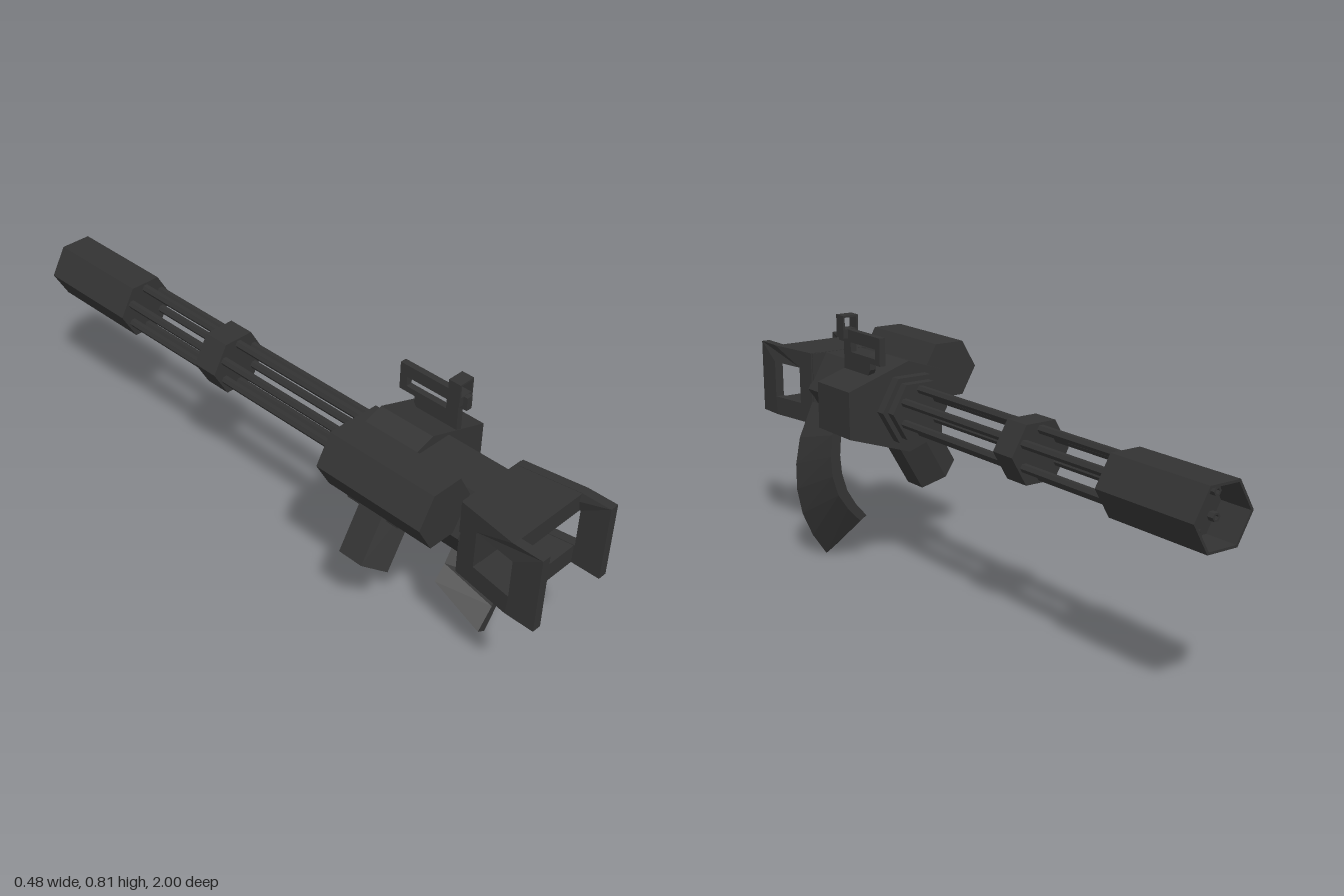
import * as THREE from 'three';

const CX = 0.02, CY = 0.548; // barrel axis

export function createModel() {
  const group = new THREE.Group();
  const mat = new THREE.MeshStandardMaterial({ color: 0x333333, flatShading: true, side: THREE.DoubleSide });

  const add = (name, geo, parent = group) => {
    const mesh = new THREE.Mesh(geo, mat);
    mesh.name = name;
    parent.add(mesh);
    return mesh;
  };
  const toPath = (pts) => pts.map(([x, y]) => new THREE.Vector2(x, y));
  const extrude = (pts, depth, hole) => {
    const shape = new THREE.Shape(toPath(pts));
    if (hole) shape.holes.push(new THREE.Path(toPath(hole)));
    return new THREE.ExtrudeGeometry(shape, { depth, bevelEnabled: false });
  };
  // outline in x/y, running from z0 to z1
  const alongZ = (pts, z0, z1, hole) => extrude(pts, z1 - z0, hole).translate(0, 0, z0);
  // outline in z/y, running from x0 to x1
  const alongX = (pts, x0, x1, hole) => extrude(pts, x1 - x0, hole).rotateY(-Math.PI / 2).translate(x1, 0, 0);
  // outline in x/z, running from y0 to y1
  const alongY = (pts, y0, y1) => extrude(pts, y1 - y0).rotateX(Math.PI / 2).translate(0, y1, 0);
  const hex = (r, x = CX, y = CY, start = 0) => Array.from({ length: 6 }, (_, i) => {
    const a = start + i * Math.PI / 3;
    return [x + r * Math.cos(a), y + r * Math.sin(a)];
  });
  const rect = (u0, v0, u1, v1) => [[u0, v0], [u1, v0], [u1, v1], [u0, v1]];
  const box = (name, x0, x1, y0, y1, z0, z1, parent) => add(name,
    new THREE.BoxGeometry(x1 - x0, y1 - y0, z1 - z0)
      .translate((x0 + x1) / 2, (y0 + y1) / 2, (z0 + z1) / 2), parent);

  // Rotary barrels with their clamps and hollow muzzle shroud
  const barrels = new THREE.Group();
  barrels.name = 'barrelCluster';
  group.add(barrels);
  for (const [x, y] of hex(0.066, CX, CY, Math.PI / 6)) {
    add('barrel', alongZ(hex(0.013, x, y), -0.92, 0.3, hex(0.007, x, y)), barrels);
  }
  add('muzzleShroud', alongZ(hex(0.098), -1, -0.65, hex(0.09)), barrels);
  add('muzzlePlate', alongZ(hex(0.092), -0.9, -0.88), barrels);
  add('shroudBack', alongZ(hex(0.092), -0.66, -0.65), barrels);
  add('barrelClamp', alongZ(hex(0.098), -0.31, -0.225), barrels);
  add('frontCollar', alongZ(hex(0.098), 0.275, 0.305), barrels);
  add('rearCollar', alongZ(hex(0.115), 0.305, 0.34), barrels);

  // Receiver: stretched six-sided housing and a narrower rear part
  add('receiverHousing', alongZ([
    [0.02, 0.69], [-0.1, 0.65], [-0.1, 0.445], [0.02, 0.405], [0.232, 0.475], [0.232, 0.62],
  ], 0.338, 0.522));
  add('receiverRear', alongZ(hex(0.13), 0.52, 0.73));

  // Side drum
  add('drum', alongZ(hex(0.098, -0.142, 0.64), 0.355, 0.71));

  // Tilted six-sided grip, vertices facing front and back
  const grip = add('grip', new THREE.CylinderGeometry(0.0825, 0.0825, 0.26, 6).translate(0, 0.13, 0));
  grip.position.set(-0.122, 0.297, 0.433);
  grip.rotation.z = -Math.PI / 6;

  // Curved magazine: rear and front arcs joined into a swept blade
  const rearIn = [[0.107, 0.02], [0.16, 0.085], [0.19, 0.16], [0.203, 0.245], [0.2, 0.32], [0.183, 0.39], [0.13, 0.5]];
  const rearOut = [[0.137, 0.003], [0.185, 0.075], [0.22, 0.155], [0.237, 0.24], [0.237, 0.325], [0.22, 0.41], [0.17, 0.52]];
  const frontIn = [[0.062, 0.155], [0.1, 0.2], [0.13, 0.25], [0.148, 0.31], [0.153, 0.37], [0.148, 0.43], [0.11, 0.5]];
  const frontOut = [[0.085, 0.14], [0.13, 0.19], [0.163, 0.24], [0.183, 0.305], [0.187, 0.37], [0.18, 0.44], [0.14, 0.52]];
  const pos = [], idx = [], n = rearIn.length;
  for (let i = 0; i < n; i++) {
    for (const [arc, z] of [[rearIn, 0.67], [rearOut, 0.67], [frontOut, 0.535], [frontIn, 0.535]]) pos.push(...arc[i], z);
    for (let k = 0; k < 4 && i < n - 1; k++) {
      const a = i * 4 + k, b = i * 4 + (k + 1) % 4;
      idx.push(a, b, b + 4, a, b + 4, a + 4);
    }
  }
  const e = (n - 1) * 4;
  idx.push(0, 2, 1, 0, 3, 2, e, e + 1, e + 2, e, e + 2, e + 3);
  const blade = new THREE.BufferGeometry();
  blade.setAttribute('position', new THREE.Float32BufferAttribute(pos, 3));
  blade.setIndex(idx);
  const bladeFlat = blade.toNonIndexed();
  bladeFlat.computeVertexNormals();
  add('curvedMagazine', bladeFlat);

  // Flared open stock
  const stock = new THREE.Group();
  stock.name = 'stock';
  group.add(stock);
  const side = [[0.725, 0.43], [0.91, 0.43], [1, 0.43], [1, 0.663], [0.91, 0.663], [0.725, 0.663]];
  for (const s of [-1, 1]) {
    const x = CX + s * 0.106;
    const plate = alongX(side, x - 0.014, x + 0.014, rect(0.785, 0.49, 0.915, 0.607));
    const p = plate.attributes.position;
    for (let i = 0; i < p.count; i++) {
      const t = Math.min(1, (p.getZ(i) - 0.725) / 0.185);
      p.setX(i, p.getX(i) + s * 0.029 * t);
    }
    plate.computeVertexNormals();
    add('stockSide', plate, stock);
  }
  const flare = [[-0.1, 0.725], [0.14, 0.725], [0.16, 0.912], [-0.12, 0.912]];
  add('stockTop', alongY(flare, 0.607, 0.662), stock);
  add('stockBottom', alongY(flare, 0.431, 0.488), stock);
  box('stockBase', -0.095, 0.135, 0.432, 0.661, 0.722, 0.785, stock);

  // Sight rail loop with a square rear ring
  const sight = new THREE.Group();
  sight.name = 'sight';
  group.add(sight);
  add('sightRail', alongX([
    [0.315, 0.69], [0.37, 0.69], [0.37, 0.67], [0.39, 0.64], [0.52, 0.64], [0.52, 0.735], [0.548, 0.735],
    [0.548, 0.775], [0.315, 0.775],
  ], 0.117, 0.137, rect(0.34, 0.708, 0.48, 0.738)), sight);
  add('sightRing', alongZ(rect(0.1, 0.748, 0.153, 0.818), 0.495, 0.535, rect(0.106, 0.776, 0.147, 0.812)), sight);

  return group;
}
